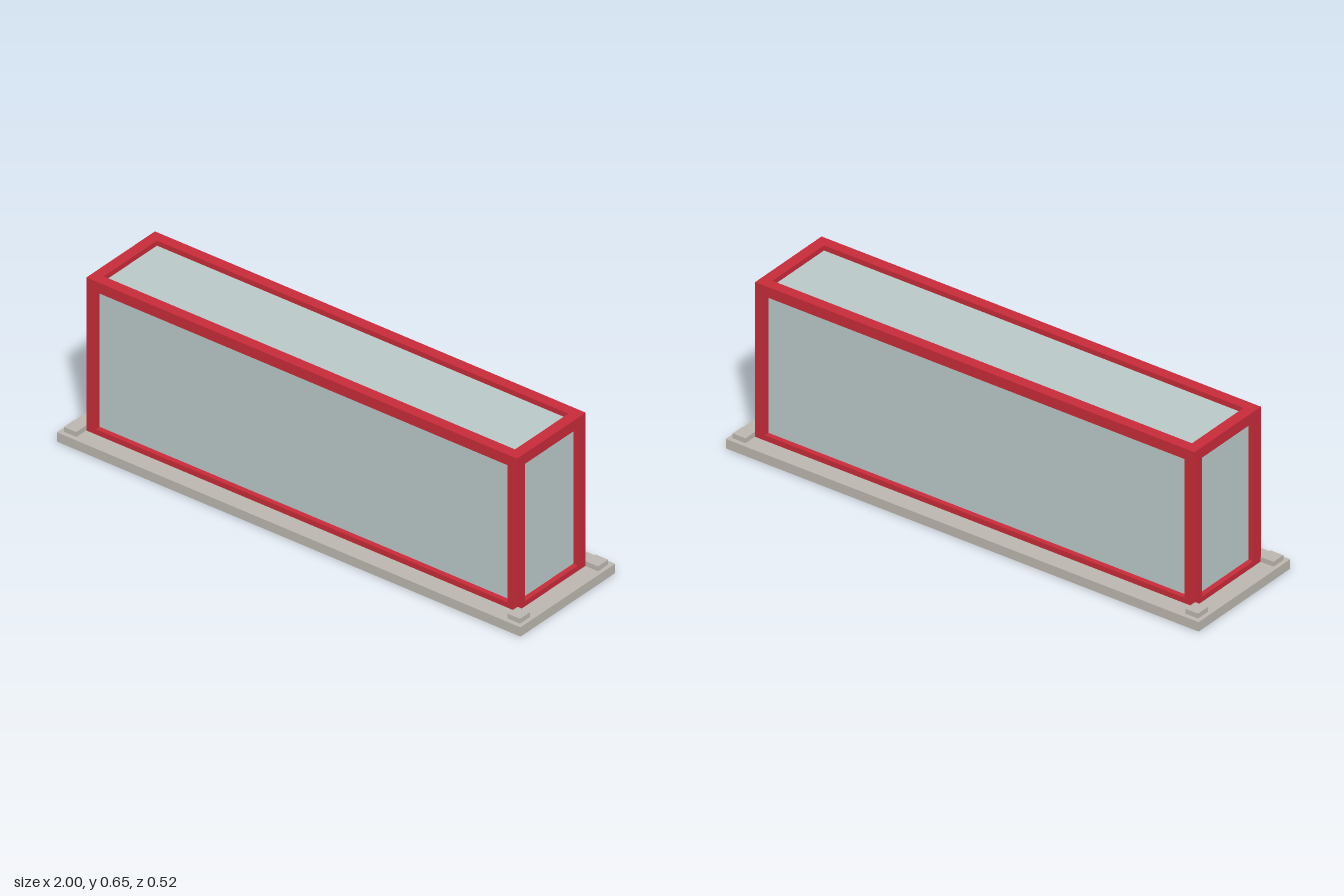
import * as THREE from 'three';

const material = (name, color) => {
  const m = new THREE.MeshStandardMaterial({ color });
  m.name = name;
  return m;
};

export function createModel() {
  const model = new THREE.Group();
  model.name = 'glassDisplayCase';
  const red = material('red frame', 0xc62b38);
  const glass = material('pale glass', 0xbac8c8);
  const stone = material('grey stone', 0xbbb6ae);

  // Box given by its size, centre in x and z, and bottom height
  const box = (name, mat, w, h, d, x, y, z, parent = model) => {
    const mesh = new THREE.Mesh(new THREE.BoxGeometry(w, h, d), mat);
    mesh.name = name;
    mesh.position.set(x, y + h / 2, z);
    parent.add(mesh);
  };

  const baseTop = 0.037, top = 0.648;
  const halfX = 0.929, halfZ = 0.187; // outer half sizes of the frame
  const bar = 0.042, sill = 0.021, inset = 0.02;

  // Base slab with a low pad at each corner
  box('baseSlab', stone, 2, baseTop, 0.516, 0, 0, 0);
  for (const sx of [-1, 1])
    for (const sz of [-1, 1])
      box('cornerPad', stone, 0.054, 0.019, 0.055, sx * 0.957, baseTop, sz * 0.2125);

  // Frame: four posts joined by top rails and bottom sills
  const frame = new THREE.Group();
  frame.name = 'frame';
  model.add(frame);
  const innerX = halfX - bar, innerZ = halfZ - bar;
  for (const sx of [-1, 1])
    for (const sz of [-1, 1])
      box('cornerPost', red, bar, top - baseTop, bar,
        sx * (halfX - bar / 2), baseTop, sz * (halfZ - bar / 2), frame);
  for (const [name, y, h] of [['topRail', top - bar, bar], ['bottomSill', baseTop, sill]])
    for (const s of [-1, 1]) {
      box(name + 'Long', red, innerX * 2, h, bar, 0, y, s * (halfZ - bar / 2), frame);
      box(name + 'Short', red, bar, h, innerZ * 2, s * (halfX - bar / 2), y, 0, frame);
    }

  // Glass body, recessed behind the frame on the sides and top
  box('glassBody', glass, (halfX - inset) * 2, top - inset - baseTop,
    (halfZ - inset) * 2, 0, baseTop, 0);

  return model;
}
